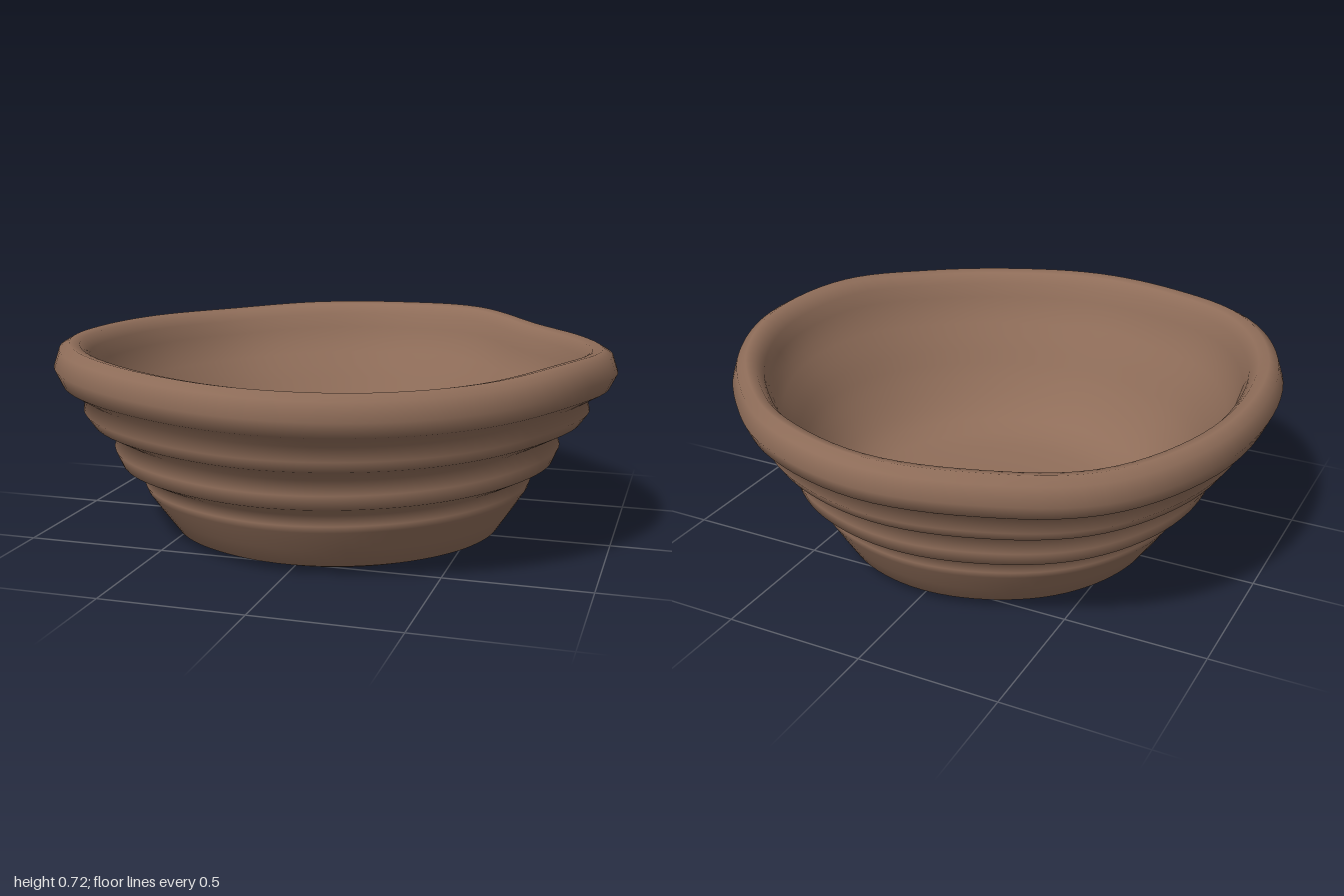
import * as THREE from 'three';
import { mergeVertices } from 'three/addons/utils/BufferGeometryUtils.js';

// Hand-pressed wobble around the rim, every 22.5 degrees from +x towards +z
const RADII = [1, 0.998, 0.985, 0.985, 0.997, 0.995, 1.02, 1.012, 0.997, 1.008, 1.02, 1.003, 1, 0.975, 0.935, 0.96];
const HEIGHTS = [0.7, 0.713, 0.692, 0.685, 0.692, 0.703, 0.717, 0.714, 0.702, 0.692, 0.685, 0.7, 0.705, 0.71, 0.685, 0.687];

// Smooth periodic interpolation of a table
function around(table, angle) {
  const n = table.length;
  const t = (((angle / (2 * Math.PI)) % 1) + 1) % 1 * n;
  const i = Math.floor(t), f = t - i;
  const [a, b, c, d] = [-1, 0, 1, 2].map((k) => table[(i + k + n) % n]);
  return b + 0.5 * f * (c - a + f * (2 * a - 5 * b + 4 * c - d + f * (3 * (b - c) + d - a)));
}

export function createModel() {
  const group = new THREE.Group();
  group.name = 'bowl';
  const clay = new THREE.MeshStandardMaterial({ color: 0x8f6d59 });
  clay.name = 'brown clay';

  // Underside, ribbed outer wall, rolled rim, softly ribbed inside, rounded floor
  const profile = [
    [0, 0], [0.3, 0], [0.5, 0], [0.525, 0.003], [0.597, 0.03], [0.645, 0.1], [0.698, 0.18], [0.707, 0.205], [0.697, 0.24],
    [0.785, 0.285], [0.807, 0.338], [0.783, 0.383], [0.88, 0.435], [0.908, 0.475], [0.897, 0.52],
    [0.975, 0.567], [1, 0.62], [0.98, 0.68], [0.945, 0.7], [0.91, 0.692], [0.88, 0.655],
    [0.865, 0.6], [0.84, 0.54], [0.815, 0.5], [0.785, 0.45], [0.755, 0.4], [0.73, 0.35],
    [0.7, 0.3], [0.665, 0.25], [0.625, 0.2], [0.575, 0.155], [0.51, 0.122], [0.42, 0.103], [0.25, 0.095], [0, 0.095],
  ].map(([r, y]) => new THREE.Vector2(r, y));

  let geometry = new THREE.LatheGeometry(profile, 96);
  const p = geometry.attributes.position;
  for (let i = 0; i < p.count; i++) {
    const x = p.getX(i), y = p.getY(i), z = p.getZ(i);
    const angle = Math.atan2(z, x);
    const h = Math.min(1, y / 0.62);
    // The wobble fades towards the foot; the middle ribs tilt a little
    const scale = 1 + (around(RADII, angle) - 1) * (0.45 + 0.55 * h);
    const lift = (around(HEIGHTS, angle) - 0.7) * h * h;
    const tilt = 0.01 * Math.cos(angle + 0.7) * Math.sin(Math.PI * h);
    p.setXYZ(i, x * scale, y + lift + tilt * Math.min(1, Math.hypot(x, z) / 0.6), z * scale);
  }
  // Weld the seam so the shading stays smooth
  geometry.deleteAttribute('uv');
  geometry.deleteAttribute('normal');
  geometry = mergeVertices(geometry, 1e-4);
  geometry.computeVertexNormals();

  const body = new THREE.Mesh(geometry, clay);
  body.name = 'bowlBody';
  group.add(body);
  return group;
}
